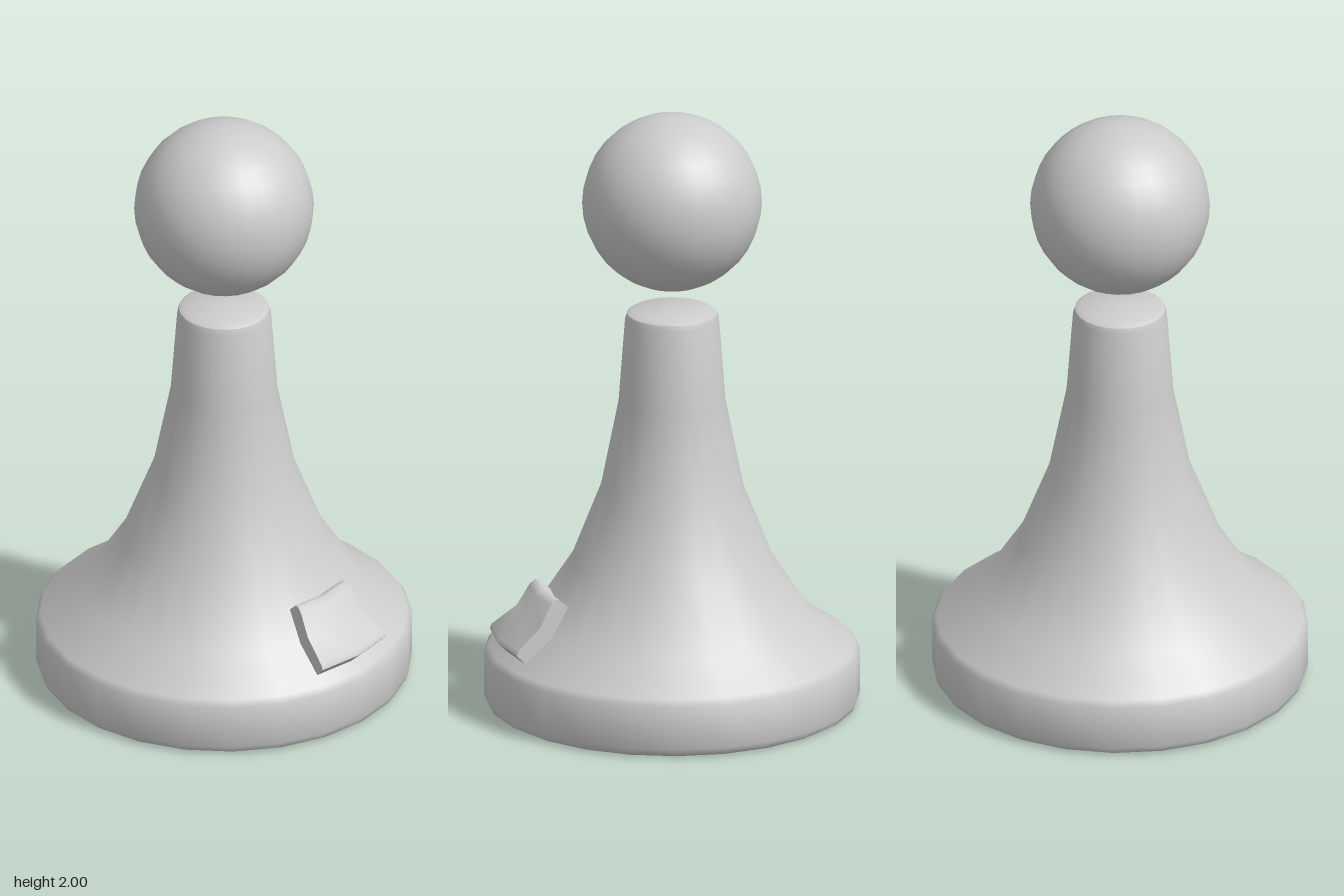
import * as THREE from 'three';
import { toCreasedNormals } from 'three/addons/utils/BufferGeometryUtils.js';

const points = (list) => list.map(([r, y]) => new THREE.Vector2(r, y));

export function createModel() {
  const model = new THREE.Group();
  const grey = new THREE.MeshStandardMaterial({ color: 0xcccccc, side: THREE.DoubleSide });
  grey.name = 'lightGrey';

  const add = (name, geometry, parent = model) => {
    const mesh = new THREE.Mesh(geometry, grey);
    mesh.name = name;
    parent.add(mesh);
    return mesh;
  };

  // Flared body with a bevelled foot and neck
  const profile = points([
    [0, 0], [0.59, 0], [0.605, 0.008], [0.613, 0.028], [0.613, 0.175], [0.598, 0.195],
    [0.46, 0.29], [0.33, 0.49], [0.232, 0.74], [0.174, 1.03],
    [0.153, 1.31], [0.147, 1.328], [0.13, 1.338], [0, 1.338],
  ]);
  add('body', toCreasedNormals(new THREE.LatheGeometry(profile, 24), 0.7));

  // Floating ball head
  const head = add('head', new THREE.SphereGeometry(0.293, 24, 18));
  head.position.y = 1.707;

  // Curved badge wrapped around the front of the skirt
  const badge = new THREE.Group();
  badge.name = 'badge';
  model.add(badge);
  const section = points([
    [0.545, 0.214], [0.56, 0.218], [0.594, 0.253], [0.588, 0.268],
    [0.505, 0.333], [0.464, 0.404], [0.447, 0.419], [0.432, 0.418],
    [0.395, 0.385], [0.46, 0.29],
  ]);
  const half = Math.PI / 12;
  const rim = new THREE.LatheGeometry([...section, section[0]], 2, -half, 2 * half);
  add('badgeShell', toCreasedNormals(rim, 0.8), badge);
  for (const angle of [-half, half]) {
    const side = new THREE.ShapeGeometry(new THREE.Shape(section));
    side.rotateY(angle - Math.PI / 2);
    add('badgeSide', side, badge);
  }
  return model;
}
